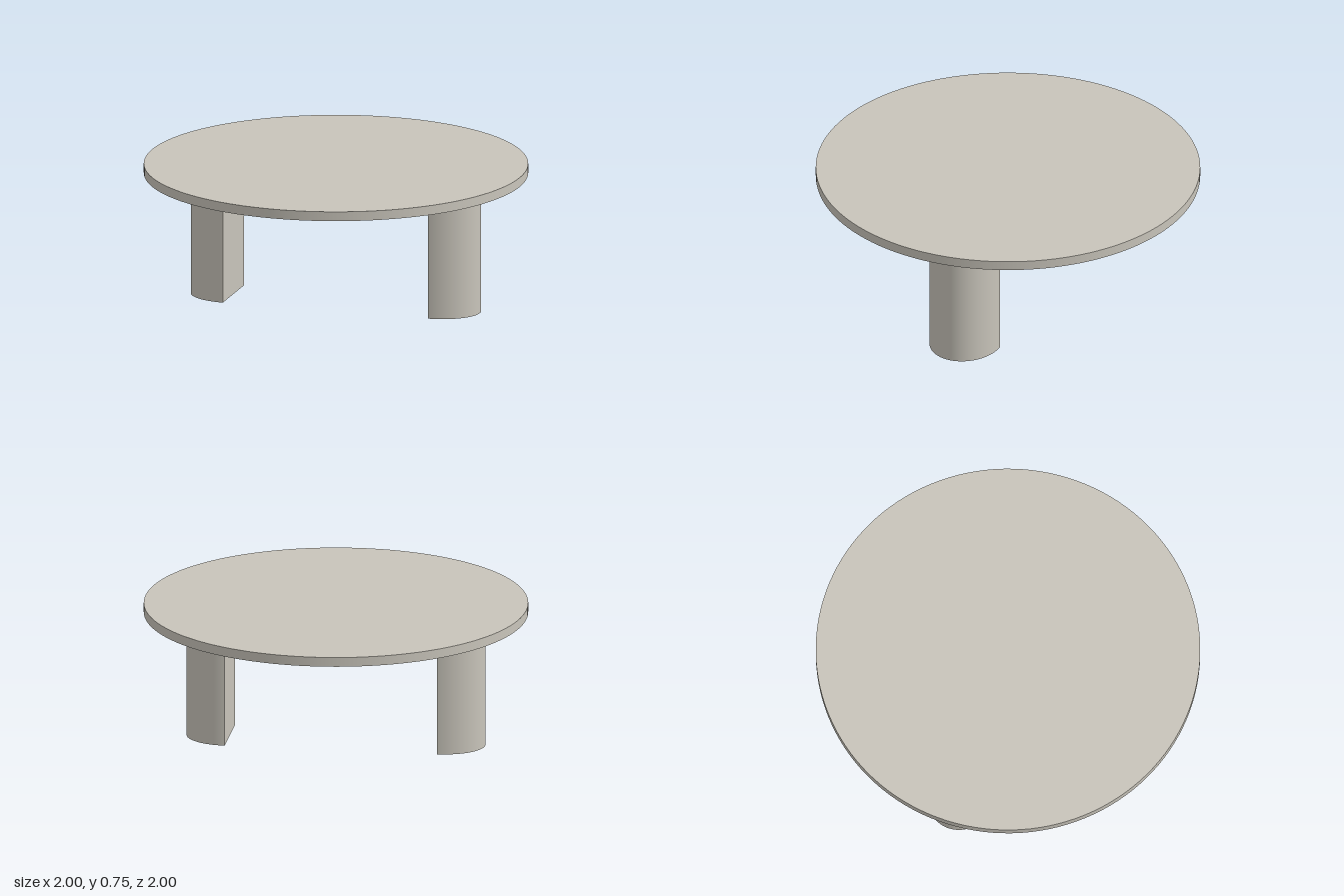
import * as THREE from 'three';

export function createModel() {
  const group = new THREE.Group();
  const stone = new THREE.MeshStandardMaterial({ color: 0xc8c4ba });
  stone.name = 'warm grey';

  const topHeight = 0.745, thickness = 0.05;
  const legHeight = topHeight - thickness;

  // Thin round top
  const top = new THREE.Mesh(new THREE.CylinderGeometry(1, 1, thickness, 128), stone);
  top.name = 'tableTop';
  top.position.y = topHeight - thickness / 2;
  group.add(top);

  // Half-oval leg: flat face inward, curved face outward
  const outline = new THREE.Shape();
  outline.absellipse(0, 0, 0.225, 0.187, -Math.PI / 2, Math.PI / 2, false, 0);
  outline.closePath();
  const legGeometry = new THREE.ExtrudeGeometry(outline, {
    depth: legHeight, bevelEnabled: false, curveSegments: 48,
  });
  legGeometry.rotateX(-Math.PI / 2);

  // Smooth the curved side with the true oval normals
  const pos = legGeometry.attributes.position, nor = legGeometry.attributes.normal;
  const n = new THREE.Vector3();
  for (let i = 0; i < pos.count; i++) {
    if (Math.abs(nor.getY(i)) > 0.5 || nor.getX(i) < -0.5) continue;
    n.set(pos.getX(i) / 0.225 ** 2, 0, pos.getZ(i) / 0.187 ** 2).normalize();
    nor.setXYZ(i, n.x, n.y, n.z);
  }

  // Two legs facing each other
  for (const side of [1, -1]) {
    const leg = new THREE.Mesh(legGeometry, stone);
    leg.name = side > 0 ? 'leftLeg' : 'rightLeg';
    leg.position.x = side * 0.558;
    leg.rotation.y = side > 0 ? 0 : Math.PI;
    group.add(leg);
  }
  return group;
}
